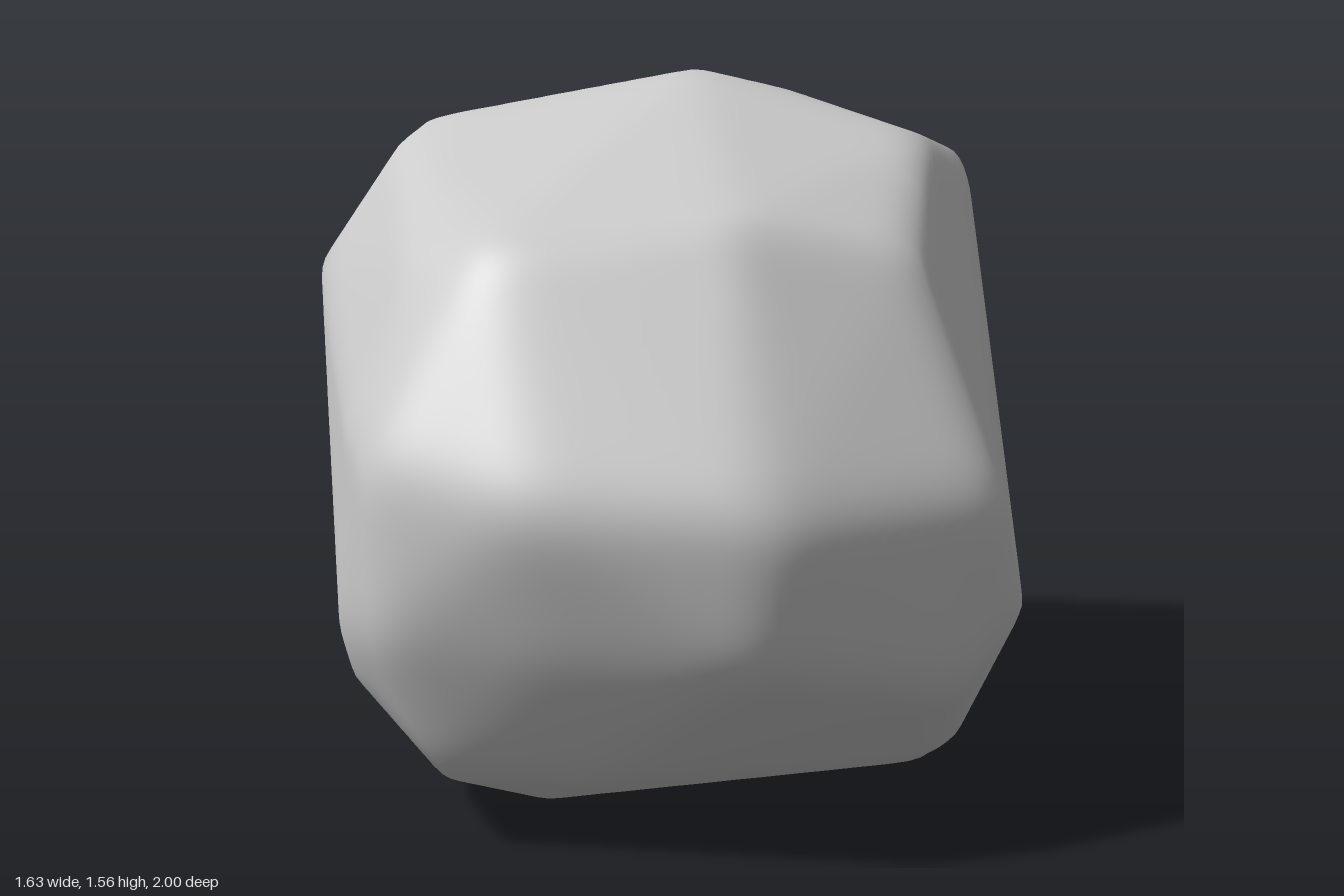
import * as THREE from 'three';
import { mergeVertices } from 'three/addons/utils/BufferGeometryUtils.js';
import { ConvexGeometry } from 'three/addons/geometries/ConvexGeometry.js';

// Corners of the boulder, grouped by region: [x, y, z]
const topCorners = [
  [0.09, 1.565, -0.49], [0.30, 1.51, -0.55], [0.61, 1.43, -0.22], [0.75, 1.34, -0.62],
  [-0.05, 1.47, -0.81], [-0.05, 1.43, -0.86], [-0.55, 1.43, -0.66], [-0.62, 1.40, -0.44],
  [-0.58, 1.26, 0.48], [-0.42, 1.32, 0.63], [0.10, 1.36, 0.62], [0.49, 1.28, 0.50],
];
const frontCorners = [
  [-0.36, 0.82, 0.965], [0.14, 0.80, 1.005], [0.20, 0.78, 0.985], [0.66, 0.78, 0.74],
  [0.13, 0.48, 0.975], [-0.34, 0.48, 0.87], [0.57, 0.36, 0.74], [-0.22, 0.16, 0.71],
  [-0.53, 0.16, 0.66], [-0.67, 0.50, 0.76], [-0.68, 0.87, 0.77],
];
const sideCorners = [
  [0.73, 0.50, 0.60], [0.815, 0.82, -0.45], [0.78, 1.28, -0.66], [0.80, 1.05, -0.65],
  [-0.73, 0.92, 0.55], [-0.755, 0.45, 0.48], [-0.73, 0.32, 0.40],
  [-0.825, 1.08, -0.60], [-0.75, 0.37, -0.50],
];
const backCorners = [
  [-0.18, 0.73, -1.005], [-0.20, 1.18, -0.975], [-0.57, 1.10, -0.95], [-0.65, 1.29, -0.86],
  [-0.68, 1.10, -0.87], [0.71, 1.33, -0.75], [0.72, 0.85, -0.74], [-0.57, 0.16, -0.76],
];
const bottomCorners = [
  [-0.30, -0.005, 0.32], [-0.50, 0.06, 0.30], [0.53, 0.095, 0.40], [0.61, 0.15, 0.42],
  [0.60, 0.20, -0.58], [0.55, 0.15, -0.62], [-0.45, 0.06, -0.68], [-0.55, 0.10, -0.50],
];

// Outward planes of the convex shape around the given centre
function hullPlanes(corners, centre) {
  const hull = new ConvexGeometry(corners.map((c) => new THREE.Vector3(...c).sub(centre)));
  const p = hull.attributes.position;
  const planes = [];
  const tri = new THREE.Triangle();
  for (let i = 0; i < p.count; i += 3) {
    tri.setFromAttributeAndIndices(p, i, i + 1, i + 2);
    if (tri.getArea() < 1e-6) continue;
    const normal = tri.getNormal(new THREE.Vector3());
    planes.push({ normal, distance: normal.dot(tri.a) });
  }
  return planes;
}

// For every vertex, the set of vertices it shares an edge with
function findNeighbours(geometry) {
  const index = geometry.index.array;
  const near = Array.from({ length: geometry.attributes.position.count }, () => new Set());
  for (let i = 0; i < index.length; i += 3) {
    for (let k = 0; k < 3; k++) {
      near[index[i + k]].add(index[i + ((k + 1) % 3)]).add(index[i + ((k + 2) % 3)]);
    }
  }
  return near;
}

// Blend an attribute with its neighbours' average
function soften(attribute, near, rounds) {
  const v = new THREE.Vector3();
  for (let r = 0; r < rounds; r++) {
    const next = near.map((set, i) => {
      const sum = new THREE.Vector3();
      set.forEach((j) => sum.add(v.fromBufferAttribute(attribute, j)));
      return sum.divideScalar(set.size).lerp(v.fromBufferAttribute(attribute, i), 0.4);
    });
    next.forEach((q, i) => attribute.setXYZ(i, q.x, q.y, q.z));
  }
}

export function createModel() {
  const centre = new THREE.Vector3(0, 0.78, 0);
  const planes = hullPlanes(
    [...topCorners, ...frontCorners, ...sideCorners, ...backCorners, ...bottomCorners], centre);

  // Fine sphere pushed out onto the cut planes
  let geometry = new THREE.IcosahedronGeometry(1, 44);
  geometry.deleteAttribute('uv');
  geometry.deleteAttribute('normal');
  geometry = mergeVertices(geometry, 1e-4);
  const p = geometry.attributes.position;
  const d = new THREE.Vector3();
  for (let i = 0; i < p.count; i++) {
    d.fromBufferAttribute(p, i).normalize();
    let reach = Infinity;
    for (const { normal, distance } of planes) {
      const facing = normal.dot(d);
      if (facing > 1e-6) reach = Math.min(reach, distance / facing);
    }
    d.multiplyScalar(reach).add(centre);
    p.setXYZ(i, d.x, d.y, d.z);
  }

  // Slightly worn edges, broad soft shading
  const near = findNeighbours(geometry);
  soften(p, near, 1);
  geometry.computeVertexNormals();
  soften(geometry.attributes.normal, near, 14);
  geometry.normalizeNormals();

  const boulder = new THREE.Mesh(geometry, new THREE.MeshStandardMaterial({ color: 0xcccccc }));
  boulder.name = 'boulder';
  const group = new THREE.Group();
  group.name = 'rock';
  group.add(boulder);
  return group;
}
